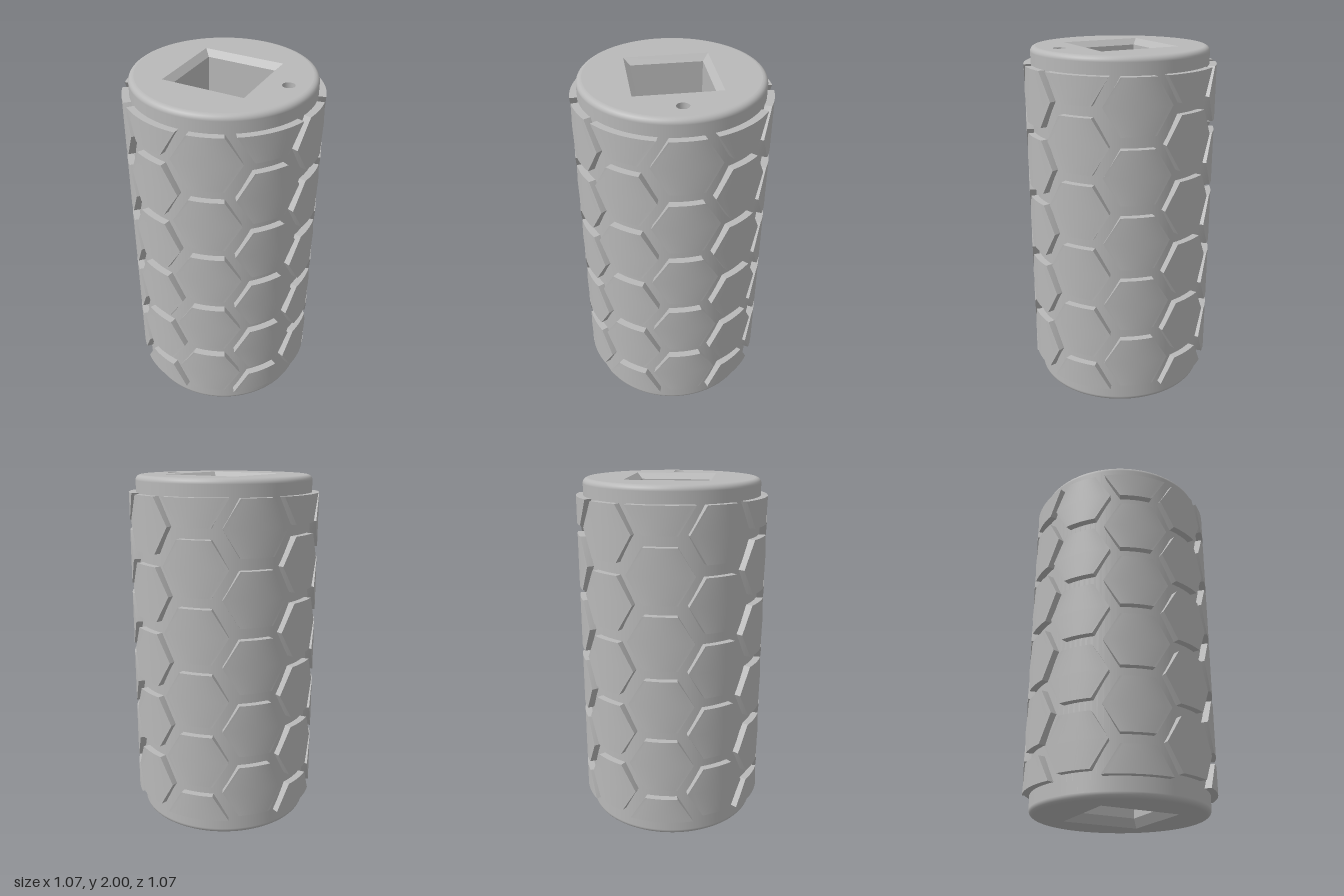
import * as THREE from 'three';
import { toCreasedNormals } from 'three/addons/utils/BufferGeometryUtils.js';

const R = 0.497, TILE_R = 0.537, H = 2, FILLET = 0.03;
const HOLE = 0.233, SOCKET = 0.2, DEPTH = 0.6;
const DEG = Math.PI / 180;

// Point on a cylinder; angle runs from +z towards +x
const polar = (r, a, y) => [r * Math.sin(a), y, r * Math.cos(a)];

// Curved plate following the cylinder; rows are [y, half angle] from bottom to top
function tileGeometry(rows, steps = 12) {
  const pos = [];
  const quad = (a, b, c, d) => pos.push(...a, ...b, ...c, ...a, ...c, ...d);
  const inner = R - 0.015;
  const at = (r, row, t) => polar(r, row[1] * (2 * t - 1), row[0]);
  for (let j = 0; j < rows.length - 1; j++) {
    const lo = rows[j], hi = rows[j + 1];
    for (let i = 0; i < steps; i++) {
      const s = i / steps, t = (i + 1) / steps;
      quad(at(TILE_R, lo, s), at(TILE_R, lo, t), at(TILE_R, hi, t), at(TILE_R, hi, s));
    }
    // side walls
    quad(at(inner, lo, 0), at(TILE_R, lo, 0), at(TILE_R, hi, 0), at(inner, hi, 0));
    quad(at(TILE_R, lo, 1), at(inner, lo, 1), at(inner, hi, 1), at(TILE_R, hi, 1));
  }
  // lower and upper walls
  const lo = rows[0], hi = rows[rows.length - 1];
  for (let i = 0; i < steps; i++) {
    const s = i / steps, t = (i + 1) / steps;
    quad(at(inner, lo, s), at(inner, lo, t), at(TILE_R, lo, t), at(TILE_R, lo, s));
    quad(at(TILE_R, hi, s), at(TILE_R, hi, t), at(inner, hi, t), at(inner, hi, s));
  }
  const g = new THREE.BufferGeometry();
  g.setAttribute('position', new THREE.Float32BufferAttribute(pos, 3));
  return toCreasedNormals(g, 0.5);
}

// Hexagon rows about a centre height, cut to the patterned band
function hexRows(cy) {
  const half = 0.15, flat = 10 * DEG, wide = 19.85 * DEG;
  const rows = [[cy - half, flat], [cy, wide], [cy + half, flat]];
  return rows.filter(([y]) => y > 0.1 && y < 1.91);
}

// Flat end disc with a square opening and an optional round one
function capGeometry(withDimple) {
  const shape = new THREE.Shape().absarc(0, 0, R - FILLET, 0, Math.PI * 2);
  const square = [[-1, -1], [-1, 1], [1, 1], [1, -1]].map(([x, y]) => new THREE.Vector2(x * HOLE, y * HOLE));
  shape.holes.push(new THREE.Path(square));
  if (withDimple) shape.holes.push(new THREE.Path().absarc(0.365, 0, 0.034, 0, Math.PI * 2, true));
  return new THREE.ShapeGeometry(shape, 48).rotateX(-Math.PI / 2);
}

// Open square tube, tapering between two half widths
function squareTube(top, bottom, h) {
  const g = new THREE.CylinderGeometry(top * Math.SQRT2, bottom * Math.SQRT2, h, 4, 1, true);
  return toCreasedNormals(g.rotateY(Math.PI / 4), 0.1);
}

export function createModel() {
  const model = new THREE.Group();
  model.name = 'grip';
  const grey = new THREE.MeshStandardMaterial({ color: 0xb8b8b8, side: THREE.DoubleSide });
  grey.name = 'grey';
  const add = (parent, name, geometry, y = 0) => {
    const mesh = new THREE.Mesh(geometry, grey);
    mesh.name = name;
    mesh.position.y = y;
    parent.add(mesh);
    return mesh;
  };

  // Barrel wall with rounded rims
  const profile = [];
  for (const [cy, start] of [[FILLET, -90], [H - FILLET, 0]]) {
    for (let i = 0; i <= 6; i++) {
      const a = (start + i * 15) * DEG;
      profile.push(new THREE.Vector2(R - FILLET + FILLET * Math.cos(a), cy + FILLET * Math.sin(a)));
    }
  }
  add(model, 'barrel', new THREE.LatheGeometry(profile, 96));

  // Each end: disc, bevelled opening, square socket and its floor
  const makeEnd = (name, bevel, withDimple) => {
    const end = new THREE.Group();
    end.name = name;
    add(end, 'endDisc', capGeometry(withDimple));
    add(end, 'socketBevel', squareTube(HOLE, SOCKET, bevel), -bevel / 2);
    add(end, 'socketWalls', squareTube(SOCKET, SOCKET, DEPTH - bevel), -(DEPTH + bevel) / 2);
    add(end, 'socketFloor', new THREE.PlaneGeometry(SOCKET * 2, SOCKET * 2).rotateX(-Math.PI / 2), -DEPTH);
    model.add(end);
    return end;
  };
  const top = makeEnd('topEnd', 0.033, true);
  top.position.y = H;
  const bottom = makeEnd('bottomEnd', 0.05, false);
  bottom.rotation.x = Math.PI;

  // Small round dimple beside the top socket
  add(top, 'dimpleWall', new THREE.CylinderGeometry(0.034, 0.034, 0.08, 32, 1, true), -0.04).position.x = 0.365;
  add(top, 'dimpleFloor', new THREE.CircleGeometry(0.034, 32).rotateX(-Math.PI / 2), -0.08).position.x = 0.365;

  // Ten columns of raised hexagons, alternately whole and cut at the ends
  const wholeColumn = [], cutColumn = [];
  for (let i = 0; i < 5; i++) wholeColumn.push(tileGeometry(hexRows(0.284 + i * 0.3675)));
  for (let i = 0; i < 6; i++) cutColumn.push(tileGeometry(hexRows(0.106 + i * 0.36)));
  for (let k = 0; k < 10; k++) {
    const column = new THREE.Group();
    column.name = 'hexColumn' + (k + 1);
    column.rotation.y = (18 + 36 * k) * DEG;
    for (const g of k % 2 ? cutColumn : wholeColumn) add(column, 'hexTile', g);
    model.add(column);
  }
  return model;
}
